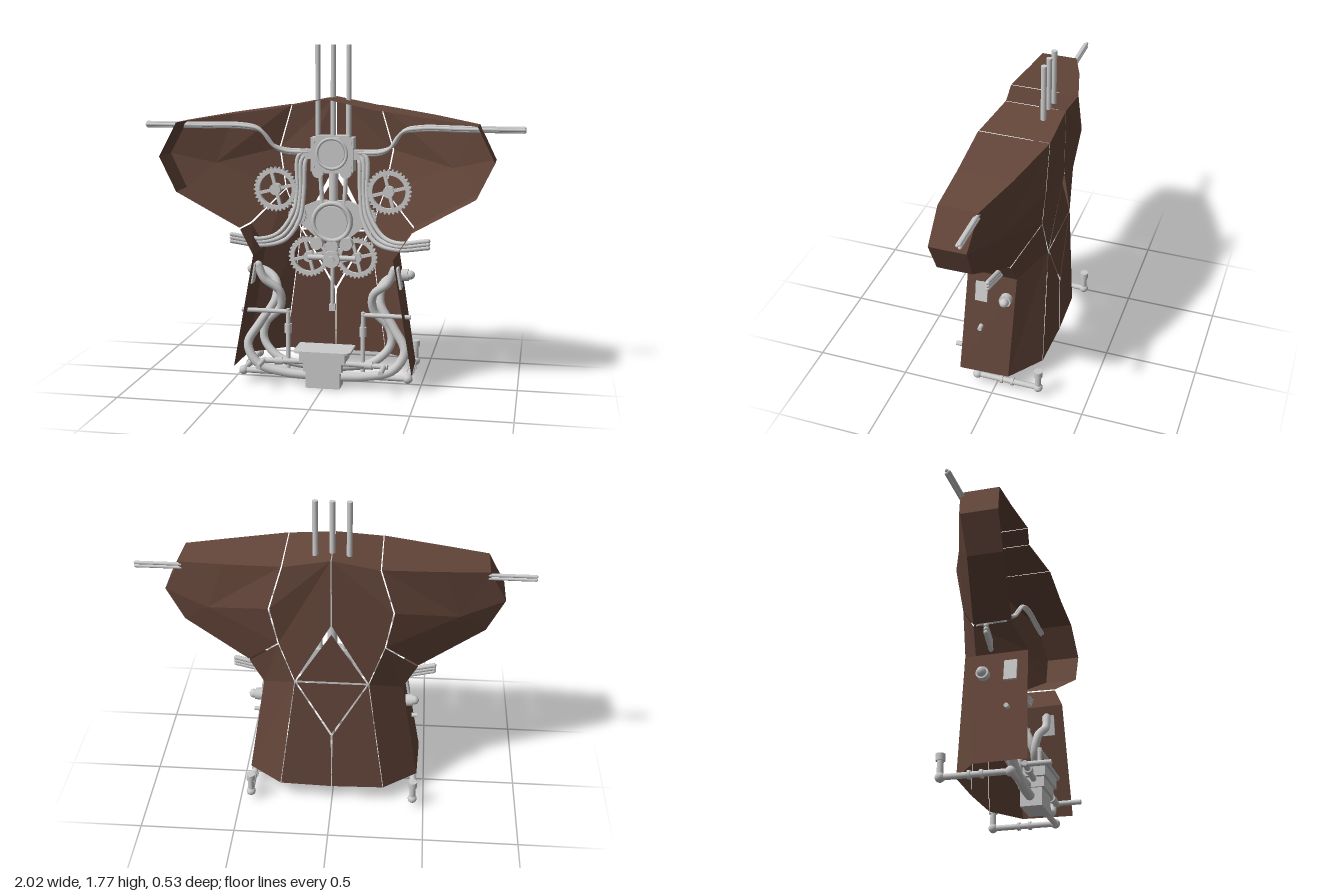
import * as THREE from 'three';

const V = (p) => new THREE.Vector3(...p);
const metal = new THREE.MeshStandardMaterial({ color: 0xcccccc });
const leather = new THREE.MeshStandardMaterial({ color: 0x64463a, side: THREE.DoubleSide, flatShading: true });

export function createModel() {
  const root = new THREE.Group();

  const add = (name, geo, pos = [0, 0, 0], mat = metal) => {
    const m = new THREE.Mesh(geo, mat);
    m.name = name;
    m.position.set(...pos);
    root.add(m);
    return m;
  };
  const box = (name, size, pos) => add(name, new THREE.BoxGeometry(...size), pos);
  // disc or drum whose axis faces the front
  const drum = (name, r, depth, pos, sides = 24) =>
    add(name, new THREE.CylinderGeometry(r, r, depth, sides).rotateX(Math.PI / 2), pos);
  const rod = (name, a, b, r) => {
    const d = V(b).sub(V(a));
    const m = add(name, new THREE.CylinderGeometry(r, r, d.length(), 16));
    m.position.copy(V(a)).addScaledVector(d, 0.5);
    m.quaternion.setFromUnitVectors(new THREE.Vector3(0, 1, 0), d.normalize());
    return m;
  };
  const hose = (name, pts, r) => {
    const curve = new THREE.CatmullRomCurve3(pts.map(V), false, 'centripetal');
    add(name, new THREE.TubeGeometry(curve, 48, r, 10), [0, 0, 0]);
    [pts[0], pts[pts.length - 1]].forEach((p) => add(name + 'End', new THREE.SphereGeometry(r, 10, 8), p));
  };

  // a plate of flat polygons, pulled in slightly to leave a seam round it
  const plate = (name, side, polys, gap = 0.005) => {
    const mid = new THREE.Vector3();
    polys.flat().forEach((p) => mid.add(V(p)));
    mid.divideScalar(polys.flat().length);
    const out = [];
    for (const poly of polys) {
      const q = poly.map((p) => V(p).add(mid.clone().sub(V(p)).setLength(gap)));
      for (let i = 1; i < q.length - 1; i++)
        for (const v of [q[0], q[i], q[i + 1]]) out.push(v.x * side, v.y, v.z);
    }
    const g = new THREE.BufferGeometry();
    g.setAttribute('position', new THREE.Float32BufferAttribute(out, 3));
    g.computeVertexNormals();
    add(name, g, [0, 0, 0], leather);
  };

  // corners shared by the plates of one half
  const topC = [0, 1.505, -0.23], topS = [0.24, 1.46, -0.225], seam = [0.31, 1.22, -0.23];
  const fork = [0.27, 1.0, -0.2], apex = [0, 1.13, -0.23], side = [0.19, 0.78, -0.21];
  const tip = [0, 0.45, -0.22], hem = [0.28, 0.1, -0.215], hemC = [0, 0.1, -0.225];
  const waistB = [0.44, 0.825, -0.09], waistF = [0.45, 0.825, 0.11];
  const hipB = [0.365, 0.7, -0.1], hipF = [0.365, 0.7, 0.17];
  const footB = [0.46, 0.1, -0.08], footF = [0.47, 0.1, 0.19];
  const roofB = [0.54, 1.42, -0.145], roofF = [0.54, 1.42, 0.135], bend = [0.64, 1.14, -0.11];
  const capB = [[0.78, 1.38, -0.06], [0.87, 1.2, -0.03], [0.78, 1.015, -0.02]];
  const capF = [[0.78, 1.38, 0.14], [0.87, 1.2, 0.16], [0.78, 1.015, 0.16]];

  for (const s of [1, -1]) {
    plate('upperBackPlate', s, [
      [topC, topS, seam, fork, side, apex],
      [[0, 1.505, 0.085], [0.24, 1.46, 0.14], topS, topC],
    ]);
    plate('shoulderPlate', s, [
      [[0.24, 1.46, 0.14], roofF, roofB, topS],
      [roofF, capF[0], capB[0], roofB],
      [capF[0], capF[1], capB[1], capB[0]],
      [capF[1], capF[2], capB[2], capB[1]],
      [capF[2], waistF, waistB, capB[2]],
      [bend, topS, roofB], [bend, seam, topS], [bend, fork, seam], [bend, waistB, fork],
      [bend, roofB, capB[0]], [bend, capB[0], capB[1]], [bend, capB[1], capB[2]], [bend, capB[2], waistB],
    ]);
    plate('lowerSidePlate', s, [
      [fork, waistB, hipB, side], [side, hipB, footB, hem],
      [waistB, waistF, hipF, hipB], [hipB, hipF, footF, footB],
    ]);
    plate('lowerBackPlate', s, [[tip, side, hem, hemC]], 0.006);
  }
  const sideM = [-side[0], side[1], side[2]];
  plate('upperDiamondPlate', 1, [[[0, 1.09, -0.22], side, sideM]], 0.012);
  plate('lowerDiamondPlate', 1, [[side, tip, sideM]], 0.012);

  // toothed wheel with spokes and a hub
  const gear = (name, x, y, z, r, teeth, spokes, depth = 0.025) => {
    const shape = new THREE.Shape();
    for (let i = 0; i < teeth * 4; i++) {
      const a = (i / (teeth * 4)) * Math.PI * 2;
      const q = i % 4 < 2 ? r : r * 0.91;
      shape[i ? 'lineTo' : 'moveTo'](Math.cos(a) * q, Math.sin(a) * q);
    }
    if (spokes) shape.holes.push(new THREE.Path().absarc(0, 0, r * 0.74, 0, Math.PI * 2, true));
    const g = new THREE.ExtrudeGeometry(shape, { depth, bevelEnabled: false, curveSegments: 16 });
    add(name, g, [x, y, z - depth / 2]);
    for (let i = 0; i < spokes; i++) {
      const a = (i / spokes) * Math.PI * 2 + 0.25;
      const b = box(name + 'Spoke', [r * 0.8, r * 0.14, depth * 0.8],
        [x + Math.cos(a) * r * 0.4, y + Math.sin(a) * r * 0.4, z]);
      b.rotation.z = a;
    }
    drum(name + 'Hub', r * 0.25, depth * 2.2, [x, y, z], 16);
  };

  // upper gearbox with its three exhaust rods
  box('gearbox', [0.23, 0.18, 0.09], [0, 1.2, -0.14]);
  box('gearboxLid', [0.18, 0.2, 0.07], [0, 1.2, -0.14]);
  add('gearboxRing', new THREE.TorusGeometry(0.08, 0.008, 8, 32), [0, 1.205, -0.093]);
  drum('gearboxDisc', 0.07, 0.02, [0, 1.205, -0.092], 32);
  for (const x of [-0.083, 0, 0.083]) rod('topRod', [x, 1.28, -0.14], [x, 1.775, -0.14], 0.014);

  // central drive with an eared plate
  drum('driveDrum', 0.11, 0.09, [0, 0.84, -0.14], 36);
  add('driveRing', new THREE.TorusGeometry(0.1, 0.012, 8, 36), [0, 0.84, -0.095]);
  drum('driveDisc', 0.085, 0.02, [0, 0.84, -0.09], 36);
  const ears = new THREE.Shape([[-0.2, 0.84], [-0.08, 0.74], [0.08, 0.74], [0.2, 0.84], [0.2, 0.9], [0.08, 0.95], [-0.08, 0.95], [-0.2, 0.9]]
    .map((p) => new THREE.Vector2(...p)));
  add('drivePlate', new THREE.ExtrudeGeometry(ears, { depth: 0.03, bevelEnabled: false }), [0, 0, -0.16]);
  rod('driveShaft', [0, 0.94, -0.15], [0, 1.12, -0.15], 0.025);

  // crank below the drive
  drum('crankHub', 0.045, 0.06, [0, 0.64, -0.1]);
  drum('crankCap', 0.02, 0.08, [0, 0.64, -0.095], 16);
  drum('upperCrankHub', 0.035, 0.05, [0, 0.71, -0.11]);
  rod('crankBar', [-0.13, 0.645, -0.1], [0.13, 0.645, -0.1], 0.015);
  rod('crankRod', [0, 0.64, -0.12], [0, 0.37, -0.12], 0.012);
  box('crankFoot', [0.032, 0.035, 0.035], [0, 0.37, -0.12]);

  for (const s of [1, -1]) {
    gear('upperGear', s * 0.305, 1.01, -0.1, 0.12, 32, 4);
    gear('lowerGear', s * 0.13, 0.645, -0.13, 0.112, 30, 4);
    gear('smallGear', s * 0.19, 0.87, -0.11, 0.05, 16, 0);
    drum('idler', 0.034, 0.06, [s * 0.08, 0.725, -0.1]);
    drum('gearboxFoot', 0.03, 0.06, [s * 0.075, 1.105, -0.12], 16);
    rod('gearboxStrut', [s * 0.07, 1.1, -0.14], [s * 0.06, 0.93, -0.14], 0.012);
    for (const y of [1.135, 1.265]) drum('gearboxBolt', 0.01, 0.02, [s * 0.1, y, -0.09], 8);
    box('gearboxPort', [0.06, 0.05, 0.05], [s * 0.14, 1.2, -0.13]);

    // tube bundles leaving the gearbox
    for (const i of [-1, 0, 1]) {
      const o = i * 0.009, z = -0.05 + (i ? -0.005 : 0.007);
      hose('shoulderTube', [[s, 1.35 + o, z], [s * 0.7, 1.35 + o, z], [s * 0.47, 1.35 + o, z], [s * (0.38 + o), 1.33 + o, z - 0.01],
        [s * (0.31 + o), 1.24 + o, z - 0.04], [s * 0.25, 1.215 + o, z - 0.06], [s * 0.13, 1.21 + o, z - 0.07]], 0.009);
      const w = i * 0.018;
      hose('waistTube', [[s * 0.14, 1.2 + w, -0.12], [s * (0.165 + w), 1.17 + w, -0.11], [s * (0.17 + w), 1.0, -0.1], [s * (0.19 + w), 0.87 + w, -0.08],
        [s * (0.26 + w), 0.765 + w, -0.05], [s * 0.36, 0.735 + w, -0.02], [s * 0.525, 0.755 + w, 0]], 0.012);
    }

    // coolant hoses between the side plates and the tray
    hose('outerHose', [[s * 0.43, 0.58, -0.05], [s * 0.36, 0.575, -0.05], [s * 0.29, 0.53, -0.02], [s * 0.28, 0.44, 0.02], [s * 0.36, 0.31, 0.05],
      [s * 0.42, 0.2, 0.08], [s * 0.36, 0.1, 0.1], [s * 0.22, 0.06, 0.1], [s * 0.08, 0.05, 0.1]], 0.024);
    hose('innerHose', [[s * 0.36, 0.63, 0.08], [s * 0.33, 0.56, 0.08], [s * 0.25, 0.49, 0.06], [s * 0.25, 0.4, 0.04], [s * 0.33, 0.31, 0.03],
      [s * 0.34, 0.22, 0.04], [s * 0.25, 0.13, 0.07], [s * 0.08, 0.1, 0.09]], 0.022);
    rod('hoseCollar', [s * 0.385, 0.577, -0.05], [s * 0.42, 0.58, -0.05], 0.032);
    const flange = box('sidePatch', [0.02, 0.11, 0.065], [s * 0.385, 0.59, 0.085]);
    flange.rotation.z = s * 0.18;

    // thin feed pipe
    rod('feedPipe', [s * 0.45, 0.385, 0.08], [s * 0.19, 0.385, 0.08], 0.012);
    rod('feedDrop', [s * 0.2, 0.4, 0.08], [s * 0.2, 0.08, 0.08], 0.012);
    rod('feedCollar', [s * 0.2, 0.32, 0.08], [s * 0.2, 0.27, 0.08], 0.019);
    rod('lowerFeed', [s * 0.34, 0.13, 0.14], [s * 0.08, 0.13, 0.12], 0.014);
    rod('frontNozzle', [s * 0.32, 0.13, 0.12], [s * 0.32, 0.13, 0.265], 0.013);
    rod('feedJoint', [s * 0.26, 0.13, 0.135], [s * 0.22, 0.13, 0.132], 0.02);

    // floor pipe running to the rear standpipe
    rod('floorPipe', [s * 0.08, 0.06, 0.1], [s * 0.44, 0.06, 0.1], 0.015);
    rod('sidePipe', [s * 0.44, 0.06, 0.1], [s * 0.44, 0.06, -0.24], 0.015);
    rod('standPipe', [s * 0.44, 0.045, -0.24], [s * 0.44, 0.17, -0.24], 0.016);
    rod('standPipeCap', [s * 0.44, 0.14, -0.24], [s * 0.44, 0.175, -0.24], 0.023);
    for (const z of [0.1, -0.24]) add('pipeElbow', new THREE.SphereGeometry(0.025, 14, 10), [s * 0.44, 0.06, z]);
    for (const z of [-0.03, -0.09]) rod('pipeCollar', [s * 0.44, 0.06, z], [s * 0.44, 0.06, z - 0.015], 0.022);
  }

  // stepped tray at the bottom, with a rounded lid
  const lid = new THREE.Shape();
  lid.moveTo(-0.15, 0.02).lineTo(0.15, 0.02).lineTo(0.15, 0.16).quadraticCurveTo(0.15, 0.2, 0.11, 0.2);
  lid.lineTo(-0.11, 0.2).quadraticCurveTo(-0.15, 0.2, -0.15, 0.16);
  add('trayLid', new THREE.ExtrudeGeometry(lid, { depth: 0.012, bevelEnabled: false }).rotateX(Math.PI / 2), [0, 0.205, 0]);
  box('trayRim', [0.24, 0.055, 0.15], [0, 0.168, 0.11]);
  box('trayBody', [0.2, 0.06, 0.13], [0, 0.12, 0.108]);
  box('traySump', [0.18, 0.1, 0.11], [0, 0.05, 0.105]);

  return root;
}
